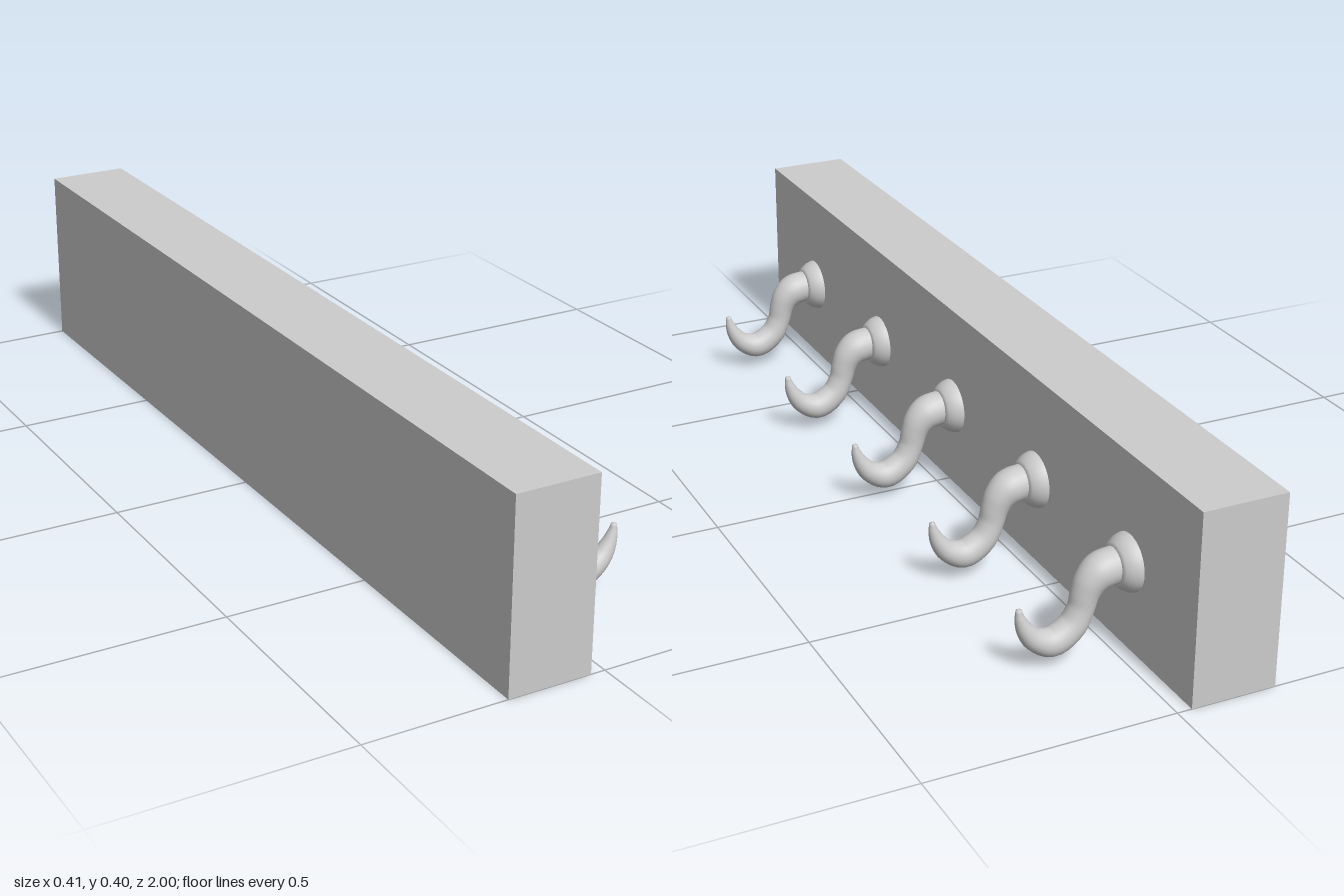
import * as THREE from 'three';

const material = new THREE.MeshStandardMaterial({ color: 0xcccccc });

// Tapered round sweep along a curve in the xy plane; stations are [x, y, radius]
function taperedSweep(stations, steps, sides) {
  const curve = new THREE.CatmullRomCurve3(
    stations.map(([x, y]) => new THREE.Vector3(x, y, 0)), false, 'centripetal');
  // radii ride along their own smooth curve, sharing the same parameter
  const radii = new THREE.SplineCurve(stations.map(([, , r], i) => new THREE.Vector2(i, r)));
  const positions = [], indices = [];
  for (let i = 0; i <= steps; i++) {
    const t = i / steps;
    const p = curve.getPoint(t), d = curve.getTangent(t), r = radii.getPoint(t).y;
    for (let j = 0; j < sides; j++) {
      const a = (j / sides) * Math.PI * 2;
      const u = Math.cos(a) * r;
      positions.push(p.x - d.y * u, p.y + d.x * u, Math.sin(a) * r);
      if (i < steps) {
        const k = (j + 1) % sides, b = i * sides, c = b + sides;
        indices.push(b + j, b + k, c + j, b + k, c + k, c + j);
      }
    }
  }
  // rounded tip
  const end = curve.getPoint(1).addScaledVector(curve.getTangent(1), stations.at(-1)[2] * 0.7);
  positions.push(end.x, end.y, end.z);
  const last = steps * sides;
  for (let j = 0; j < sides; j++) indices.push(last + j, last + (j + 1) % sides, last + sides);
  const geometry = new THREE.BufferGeometry();
  geometry.setAttribute('position', new THREE.Float32BufferAttribute(positions, 3));
  geometry.setIndex(indices);
  geometry.computeVertexNormals();
  return geometry;
}

export function createModel() {
  const model = new THREE.Group();
  model.name = 'hookRail';

  // Wall board
  const board = new THREE.Mesh(new THREE.BoxGeometry(0.175, 0.395, 2), material);
  board.name = 'board';
  board.position.set(-0.1175, 0.1975, 0);
  model.add(board);

  // Domed mounting flange, turned so its axis points along +x
  const flangeGeometry = new THREE.LatheGeometry([
    [0.058, -0.032], [0.057, -0.025], [0.054, -0.016], [0.049, -0.008],
    [0.043, -0.001], [0.036, 0.004], [0, 0.004],
  ].map(([r, h]) => new THREE.Vector2(r, h)), 32);
  flangeGeometry.rotateZ(-Math.PI / 2);

  // S-shaped hook, thick at the root and narrowing to the tip
  const hookGeometry = taperedSweep([
    [-0.015, 0.18, 0.037], [0.003, 0.18, 0.036], [0.03, 0.175, 0.036],
    [0.049, 0.159, 0.032], [0.06, 0.137, 0.028], [0.068, 0.107, 0.026],
    [0.086, 0.073, 0.028], [0.127, 0.05, 0.029], [0.163, 0.064, 0.0225],
    [0.183, 0.089, 0.0165], [0.193, 0.114, 0.0105], [0.196, 0.132, 0.006],
  ], 48, 24);

  [0.748, 0.365, -0.015, -0.395, -0.762].forEach((z, i) => {
    const peg = new THREE.Group();
    peg.name = `coatHook${i + 1}`;
    const flange = new THREE.Mesh(flangeGeometry, material);
    flange.name = 'flange';
    flange.position.y = 0.179;
    const hook = new THREE.Mesh(hookGeometry, material);
    hook.name = 'hook';
    peg.add(flange, hook);
    peg.position.z = z;
    model.add(peg);
  });

  return model;
}
